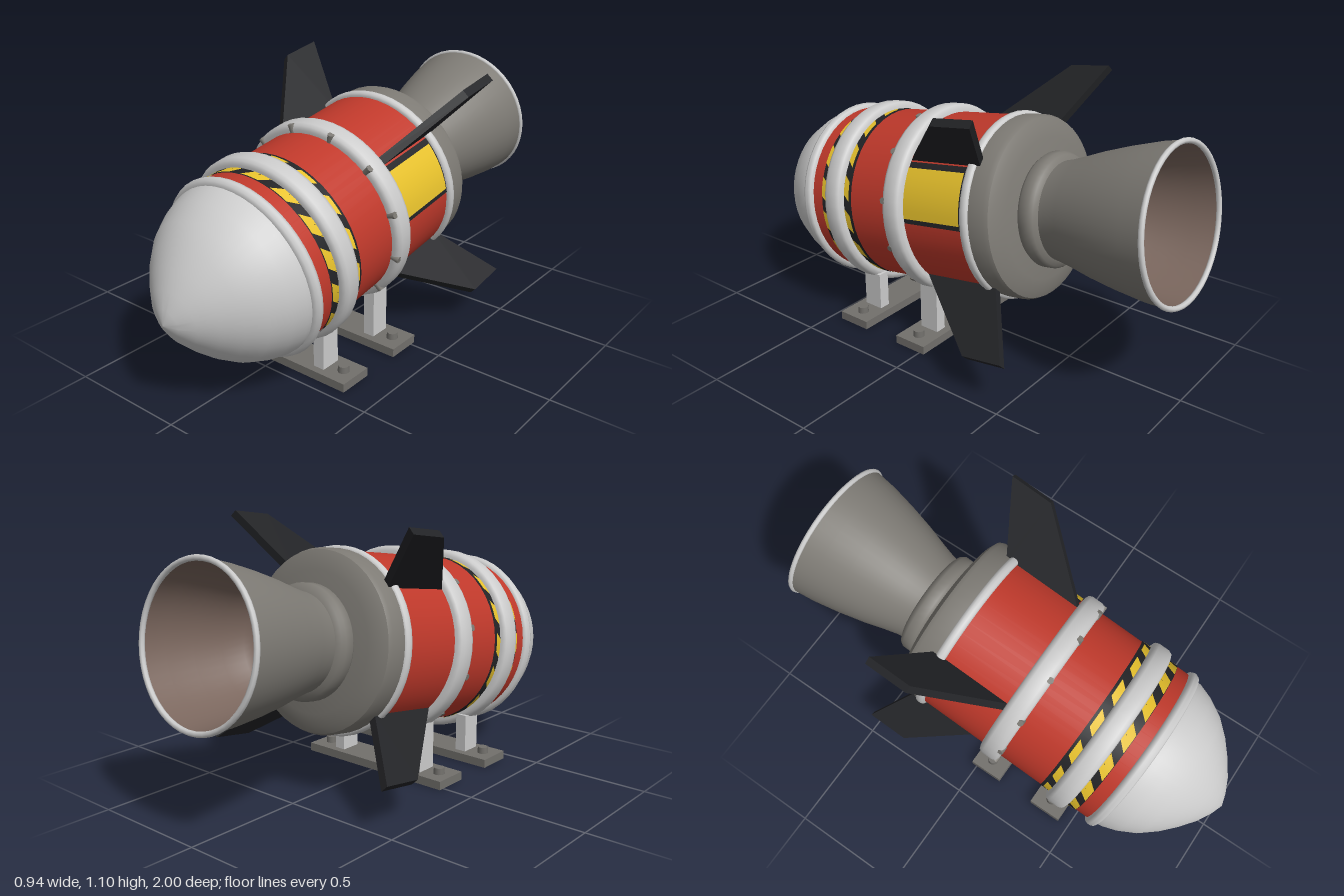
import * as THREE from 'three';
import { toCreasedNormals } from 'three/addons/utils/BufferGeometryUtils.js';

const mat = (color) => new THREE.MeshStandardMaterial({ color });
const rad = THREE.MathUtils.degToRad;

export function createModel() {
  const light = mat(0xcccccc), dark = mat(0x7d7a74), red = mat(0xc0392b);
  const black = mat(0x222326), yellow = mat(0xe8c22c), inner = mat(0x7a665d), plate = mat(0x72706c);
  const model = new THREE.Group();

  // The rocket is built along local y: y = -s, where s is the distance behind the nose tip
  const rocket = new THREE.Group();
  rocket.name = 'rocket';
  rocket.position.set(0, 0.41, 1);
  rocket.rotation.x = rad(99);
  model.add(rocket);

  function add(parent, name, geometry, material, x = 0, y = 0, z = 0) {
    const mesh = new THREE.Mesh(geometry, material);
    mesh.name = name;
    mesh.position.set(x, y, z);
    parent.add(mesh);
    return mesh;
  }

  // Turned part from [radius, s] pairs listed nose to tail (tail to nose faces inward)
  function turned(name, profile, material, crease = 35) {
    const points = profile.map(([r, s]) => new THREE.Vector2(r, -s)).reverse();
    const geometry = toCreasedNormals(new THREE.LatheGeometry(points, 48), rad(crease));
    return add(rocket, name, geometry, material);
  }

  // Rounded hoop centred at s
  function hoop(name, s, half, r, bevel, material) {
    return turned(name, [
      [0.35, s - half], [r - bevel, s - half], [r - bevel * 0.3, s - half + bevel * 0.3], [r, s - half + bevel],
      [r, s + half - bevel], [r - bevel * 0.3, s + half - bevel * 0.3], [r - bevel, s + half], [0.35, s + half],
    ], material, 50);
  }

  // Curved patch on the body; angles are degrees above the +x side
  function patch(name, r, s0, s1, a0, a1, material, skew = 0) {
    const geometry = new THREE.CylinderGeometry(r, r, s1 - s0, 6, 2, true, rad(90 + a0), rad(a1 - a0));
    const p = geometry.attributes.position;
    for (let i = 0; i < p.count; i++) {
      const turn = rad(skew) * p.getY(i) / (s1 - s0);
      const x = p.getX(i), z = p.getZ(i);
      p.setX(i, x * Math.cos(turn) + z * Math.sin(turn));
      p.setZ(i, z * Math.cos(turn) - x * Math.sin(turn));
    }
    geometry.computeVertexNormals();
    return add(rocket, name, geometry, material, 0, -(s0 + s1) / 2, 0);
  }

  // Nose and body
  turned('noseCone', [[0, 0], [0.055, 0.022], [0.115, 0.055], [0.18, 0.105], [0.24, 0.16],
    [0.295, 0.225], [0.335, 0.3], [0.355, 0.36], [0.36, 0.4]], light);
  turned('body', [[0.36, 0.39], [0.36, 1.28]], red);
  hoop('noseRing', 0.405, 0.024, 0.38, 0.02, light);
  hoop('frontClampRing', 0.572, 0.046, 0.395, 0.022, light);
  hoop('rearClampRing', 0.905, 0.046, 0.395, 0.022, light);
  hoop('tailRing', 1.262, 0.02, 0.378, 0.014, light);

  // Hazard band under the front clamp ring
  turned('hazardBand', [[0.3625, 0.485], [0.3625, 0.66]], black);
  for (let i = 0; i < 16; i++) {
    patch('hazardStripe', 0.365, 0.487, 0.648, i * 22.5, i * 22.5 + 13, yellow, 24);
  }

  // Warning panel on one side
  patch('panelBacking', 0.3635, 0.955, 1.245, 2, 41, black);
  patch('warningPanel', 0.366, 0.955, 1.235, 5, 37, yellow);

  // Bolts around the rear clamp ring
  for (let i = 0; i < 12; i++) {
    const a = rad(15 + 30 * i);
    const bolt = add(rocket, 'ringBolt', new THREE.CylinderGeometry(0.014, 0.014, 0.04, 8), dark,
      0.373 * Math.sin(a), -0.868, 0.373 * Math.cos(a));
    bolt.rotation.set(Math.PI / 2, 0, -a, 'YZX');
    bolt.quaternion.setFromUnitVectors(new THREE.Vector3(0, 1, 0), new THREE.Vector3(Math.sin(a), 0, Math.cos(a)));
  }

  // Tail, neck flange and engine bell
  turned('tailSection', [[0.366, 1.27], [0.366, 1.35], [0.358, 1.368], [0.33, 1.382], [0.28, 1.393], [0.19, 1.402]], dark);
  turned('neckFlange', [[0.2, 1.39], [0.218, 1.4], [0.228, 1.415], [0.228, 1.452], [0.218, 1.468], [0.195, 1.478]], dark);
  turned('engineBell', [[0.195, 1.47], [0.2, 1.5], [0.216, 1.56], [0.243, 1.65], [0.27, 1.76], [0.292, 1.87], [0.304, 1.97]], dark);
  turned('bellInterior', [[0.296, 1.972], [0.282, 1.87], [0.26, 1.76], [0.233, 1.65], [0.205, 1.56],
    [0.18, 1.54], [0.17, 1.48], [0, 1.48]], inner);
  const rim = add(rocket, 'bellRim', new THREE.TorusGeometry(0.3, 0.011, 8, 48), light, 0, -1.963, 0);
  rim.rotation.x = Math.PI / 2;

  // Four swept fins on the diagonals, outlined in (radius, -s)
  const outline = new THREE.Shape([[0.33, -0.92], [0.65, -1.26], [0.65, -1.44], [0.36, -1.295], [0.33, -1.28]]
    .map(([r, y]) => new THREE.Vector2(r, y)));
  const finGeometry = new THREE.ExtrudeGeometry(outline, { depth: 0.034, bevelEnabled: false });
  finGeometry.translate(0, 0, -0.017);
  for (let i = 0; i < 4; i++) {
    add(rocket, 'fin', finGeometry, black).rotation.y = rad(45 + 90 * i);
  }

  // Two stands: base plate, two posts and two bolts each
  for (const [z, top] of [[0.375, 0.2], [0.052, 0.26]]) {
    const stand = new THREE.Group();
    stand.name = 'stand';
    stand.position.z = z;
    model.add(stand);
    add(stand, 'basePlate', new THREE.BoxGeometry(0.724, 0.036, 0.15), plate, 0, 0.018, 0);
    for (const side of [-1, 1]) {
      add(stand, 'post', new THREE.BoxGeometry(0.05, top - 0.03, 0.088), light, side * 0.212, (top + 0.03) / 2, 0);
      add(stand, 'plateBolt', new THREE.CylinderGeometry(0.022, 0.024, 0.03, 12), plate, side * 0.302, 0.048, 0);
    }
  }
  return model;
}
